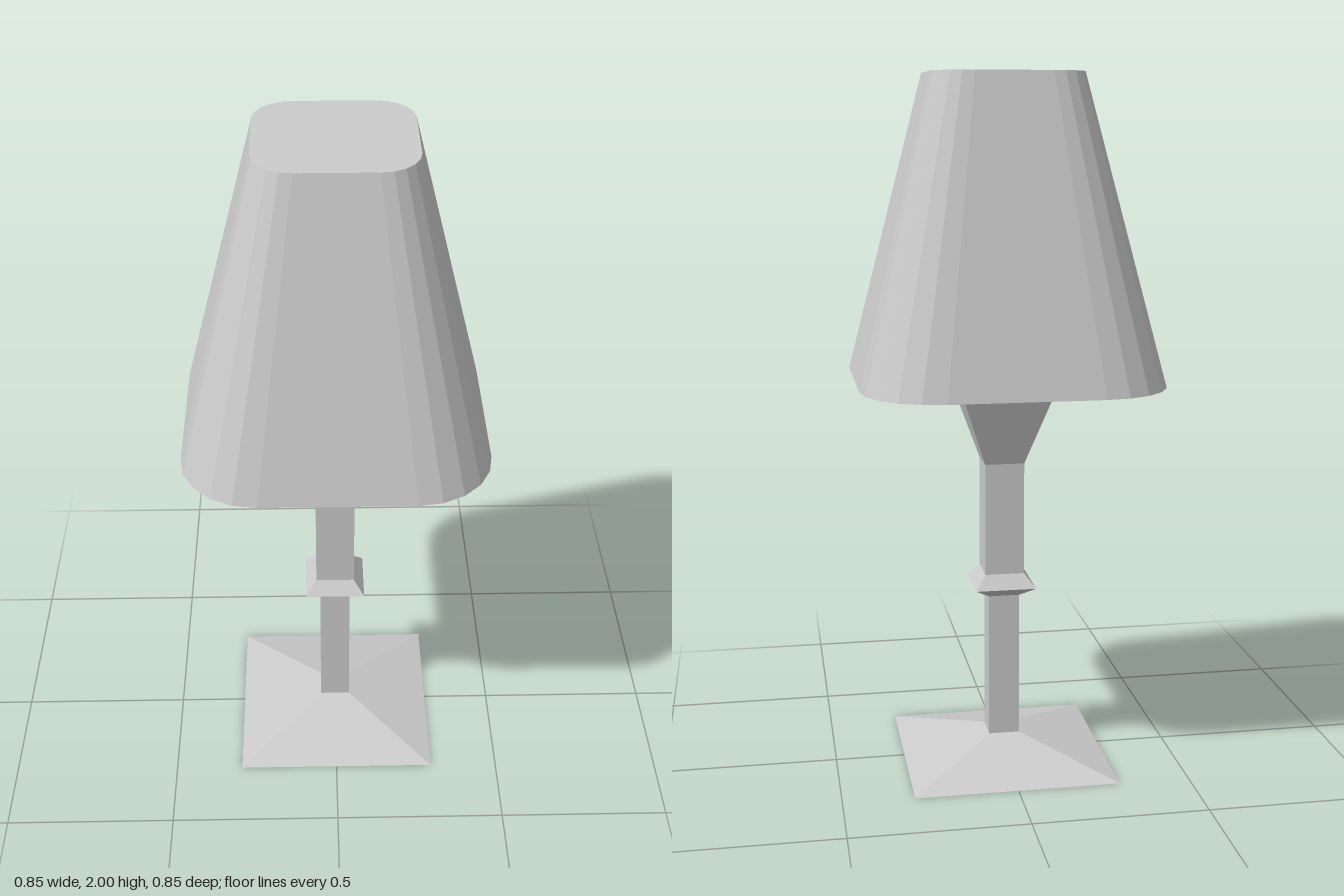
import * as THREE from 'three';

const solid = new THREE.MeshStandardMaterial({ color: 0xcccccc, flatShading: true });
const thin = new THREE.MeshStandardMaterial({ color: 0xcccccc, flatShading: true, side: THREE.DoubleSide });

// Half width of the shade, tapering from y = 1.15 up to y = 2
const shadeHalf = (y) => THREE.MathUtils.mapLinear(y, 1.15, 2, 0.424, 0.212);

// Square frustum given by its half widths and heights
function squareFrustum(name, bottom, top, y0, y1) {
  const geometry = new THREE.CylinderGeometry(
    top * Math.SQRT2, bottom * Math.SQRT2, y1 - y0, 4, 1, false, Math.PI / 4);
  geometry.translate(0, (y0 + y1) / 2, 0);
  const mesh = new THREE.Mesh(geometry, solid);
  mesh.name = name;
  return mesh;
}

// Moves the rim of a 24-sided unit cylinder or disc onto a rounded square:
// each corner takes six points, so every corner arc has five facets
function roundSquare(geometry) {
  const p = geometry.attributes.position;
  for (let i = 0; i < p.count; i++) {
    const x = p.getX(i), y = p.getY(i), z = p.getZ(i);
    if (Math.hypot(x, z) < 0.5) continue; // cap centre
    const k = (Math.round(Math.atan2(x, z) / (Math.PI / 12)) + 24) % 24;
    const corner = Math.floor(k / 6) * Math.PI / 2;
    const arc = corner + (k % 6) * Math.PI / 10;
    const half = shadeHalf(y), r = half / 2;
    const middle = corner + Math.PI / 4;
    p.setX(i, r * (Math.SQRT2 * Math.sin(middle) + Math.sin(arc)));
    p.setZ(i, r * (Math.SQRT2 * Math.cos(middle) + Math.cos(arc)));
  }
  geometry.computeVertexNormals();
  return geometry;
}

export function createModel() {
  const lamp = new THREE.Group();
  lamp.name = 'tableLamp';

  // Base, stem, collar and flared shade support
  const flareTop = 1.26;
  lamp.add(
    squareFrustum('base', 0.296, 0.045, 0, 0.07),
    squareFrustum('lowerStem', 0.045, 0.045, 0.07, 0.5),
    squareFrustum('collarBottom', 0.045, 0.088, 0.5, 0.53),
    squareFrustum('collarTop', 0.088, 0.057, 0.53, 0.57),
    squareFrustum('upperStem', 0.057, 0.057, 0.57, 0.9),
    squareFrustum('shadeSupport', 0.057, 0.181, 0.9, flareTop),
  );

  // Shade: tapered wall open at the bottom
  const wall = new THREE.CylinderGeometry(1, 1, 0.85, 24, 1, true).translate(0, 1.575, 0);
  const shadeWall = new THREE.Mesh(roundSquare(wall), thin);
  shadeWall.name = 'shadeWall';
  lamp.add(shadeWall);

  // Flat top of the shade and the recessed panel resting on the support
  for (const [name, y] of [['shadeTop', 2], ['shadeInnerPanel', flareTop]]) {
    const disc = new THREE.CircleGeometry(1, 24).rotateX(-Math.PI / 2).translate(0, y, 0);
    const panel = new THREE.Mesh(roundSquare(disc), thin);
    panel.name = name;
    lamp.add(panel);
  }
  return lamp;
}
